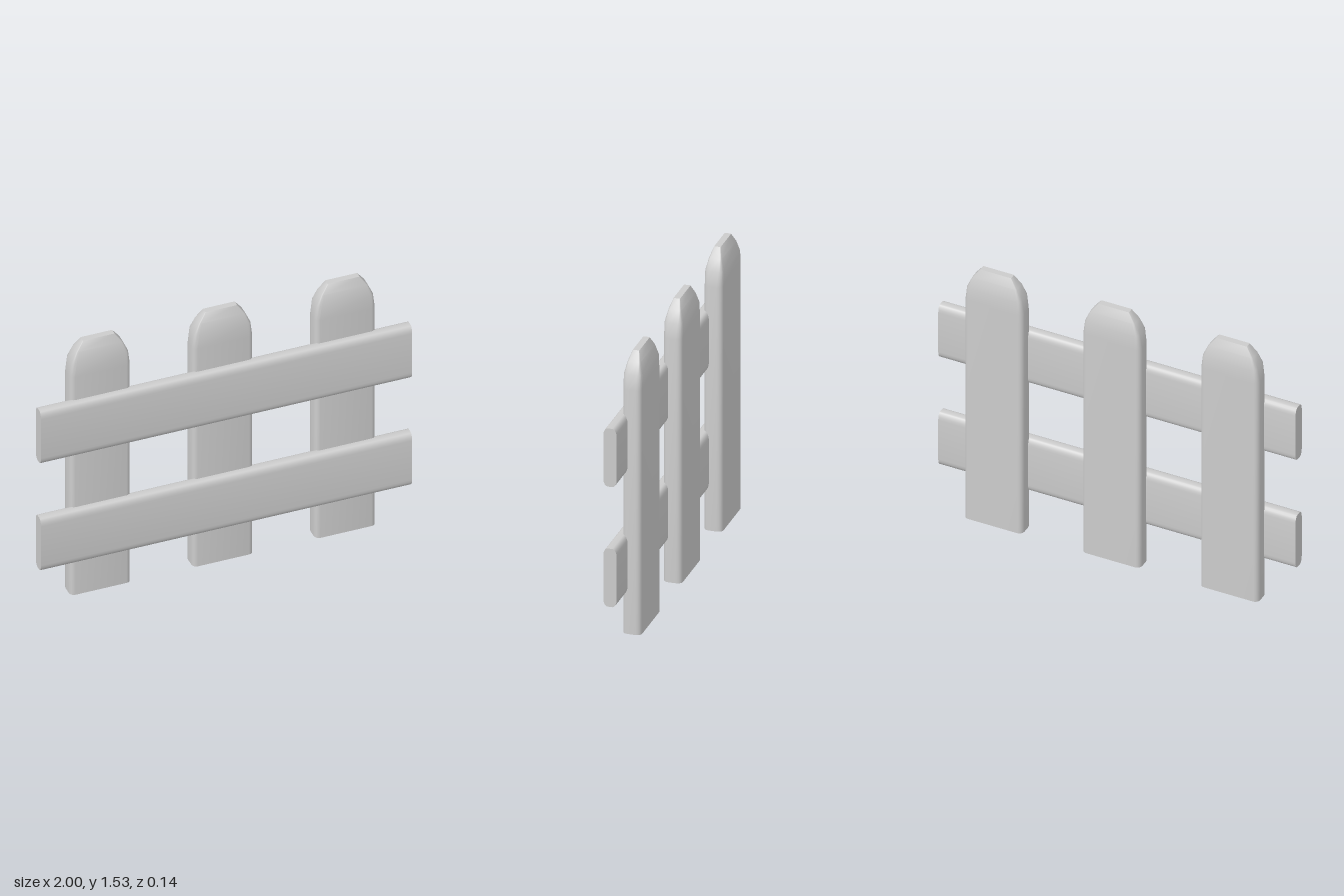
import * as THREE from 'three';
import { toCreasedNormals } from 'three/addons/utils/BufferGeometryUtils.js';

const material = new THREE.MeshStandardMaterial({ color: 0xcccccc });
const STEPS = 4; // segments per rounded corner

// Rounded rectangle in x/z with half sizes w, d and corner radii rx, rz
function section({ y, w, d, rx, rz }) {
  const points = [];
  for (let corner = 0; corner < 4; corner++) {
    const sx = corner === 0 || corner === 3 ? 1 : -1;
    const sz = corner < 2 ? 1 : -1;
    for (let i = 0; i <= STEPS; i++) {
      const a = (corner + i / STEPS) * Math.PI / 2;
      points.push([sx * (w - rx) + rx * Math.cos(a), y, sz * (d - rz) + rz * Math.sin(a)]);
    }
  }
  return points;
}

// Skin a stack of sections, closed with flat caps
function loft(levels) {
  const n = 4 * (STEPS + 1);
  const positions = levels.flatMap((level) => section(level).flat());
  const index = [];
  for (let r = 0; r < levels.length - 1; r++) {
    for (let i = 0; i < n; i++) {
      const a = r * n + i, b = r * n + (i + 1) % n;
      index.push(a, a + n, b, b, a + n, b + n);
    }
  }
  const top = (levels.length - 1) * n;
  for (let i = 1; i < n - 1; i++) {
    index.push(0, i, i + 1, top, top + i + 1, top + i);
  }
  const geometry = new THREE.BufferGeometry();
  geometry.setAttribute('position', new THREE.Float32BufferAttribute(positions, 3));
  geometry.setIndex(index);
  return toCreasedNormals(geometry, 0.6);
}

export function createModel() {
  const fence = new THREE.Group();
  fence.name = 'picketFence';

  // Upright pickets with rounded, tapering tops
  const picket = loft([
    { y: 0, w: 0.163, d: 0.049, rx: 0.025, rz: 0.028 },
    { y: 1.34, w: 0.163, d: 0.049, rx: 0.025, rz: 0.028 },
    { y: 1.42, w: 0.152, d: 0.048, rx: 0.02, rz: 0.022 },
    { y: 1.48, w: 0.125, d: 0.034, rx: 0.012, rz: 0.012 },
    { y: 1.53, w: 0.086, d: 0.017, rx: 0.004, rz: 0.004 },
  ]);
  [-0.66, 0, 0.66].forEach((x, i) => {
    const mesh = new THREE.Mesh(picket, material);
    mesh.name = ['rightPicket', 'middlePicket', 'leftPicket'][i];
    mesh.position.set(x, 0, -0.019);
    fence.add(mesh);
  });

  // Horizontal rails on the front
  const profile = { w: 0.16, d: 0.035, rx: 0.04, rz: 0.022 };
  const rail = loft([{ y: -1, ...profile }, { y: 1, ...profile }]);
  rail.rotateZ(Math.PI / 2);
  [0.38, 1.04].forEach((y, i) => {
    const mesh = new THREE.Mesh(rail, material);
    mesh.name = ['lowerRail', 'upperRail'][i];
    mesh.position.set(0, y, 0.036);
    fence.add(mesh);
  });

  return fence;
}
